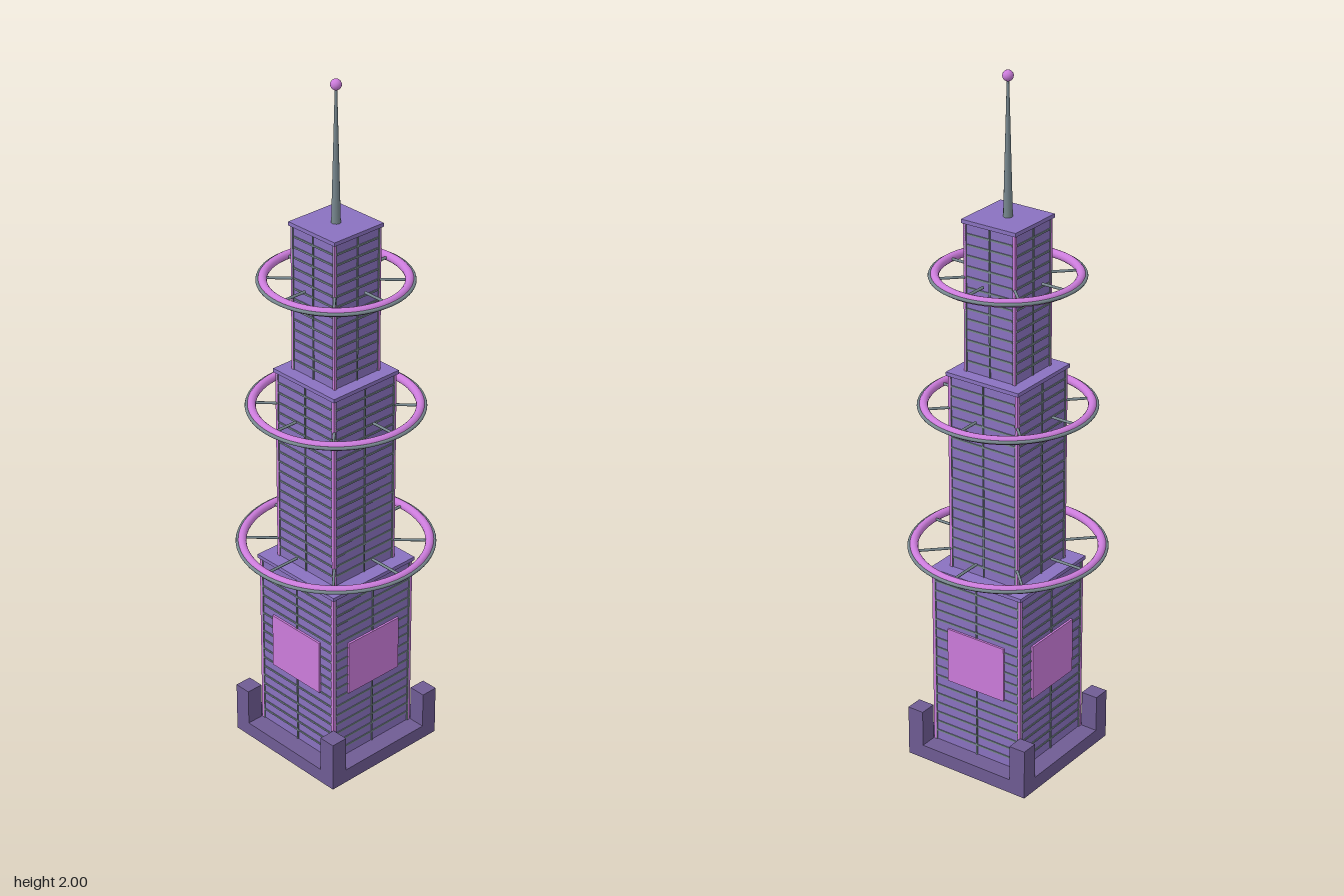
import * as THREE from 'three';

const mat = (name, color) => Object.assign(new THREE.MeshStandardMaterial({ color }), { name });

export function createModel() {
  const wall = mat('violet wall', 0x8a72c0);
  const stone = mat('dark violet stone', 0x6f5c94);
  const pink = mat('neon pink', 0xcc7cdc);
  const metal = mat('grey metal', 0x78888f);

  const model = new THREE.Group();
  model.name = 'tower';

  const add = (parent, name, geometry, material, x = 0, y = 0, z = 0) => {
    const mesh = new THREE.Mesh(geometry, material);
    mesh.name = name;
    mesh.position.set(x, y, z);
    parent.add(mesh);
    return mesh;
  };
  const box = (parent, name, material, w, h, d, x, y, z) =>
    add(parent, name, new THREE.BoxGeometry(w, h, d), material, x, y, z);
  const corners = [[1, 1], [1, -1], [-1, -1], [-1, 1]];

  // Base plate with a pier on each corner
  box(model, 'basePlate', stone, 0.4, 0.042, 0.4, 0, 0.021, 0);
  for (const [sx, sz] of corners)
    box(model, 'cornerPier', stone, 0.05, 0.15, 0.05, sx * 0.175, 0.075, sz * 0.175);

  // Stacked tiers: half width, bottom, top
  const tiers = [[0.146, 0.042, 0.58], [0.111, 0.59, 1.165], [0.08, 1.175, 1.595]];
  for (const [half, bottom, top] of tiers) {
    const tier = new THREE.Group();
    tier.name = 'tier';
    model.add(tier);
    const height = top - bottom;
    const mid = (top + bottom) / 2;
    box(tier, 'walls', wall, half * 2, height, half * 2, 0, mid, 0);
    box(tier, 'roofCap', wall, half * 2 + 0.014, 0.011, half * 2 + 0.014, 0, top + 0.0045, 0);

    // Neon strips up the corners
    for (const [sx, sz] of corners)
      box(tier, 'cornerStrip', pink, 0.008, height, 0.008, sx * (half - 0.001), mid, sz * (half - 0.001));

    // Window grid, the bars reaching through to the opposite face
    const across = half * 2 - 0.014;
    const deep = half * 2 + 0.005;
    const floors = Math.round(height / 0.03);
    for (let i = 1; i < floors; i++) {
      const y = bottom + (height * i) / floors;
      box(tier, 'floorBar', metal, across, 0.005, deep, 0, y, 0);
      box(tier, 'floorBar', metal, deep, 0.005, across, 0, y, 0);
    }
    for (const k of [-0.5, 0, 0.5]) {
      box(tier, 'windowPost', metal, 0.004, height, deep + 0.001, k * half * 2 * 0.96, mid, 0);
      box(tier, 'windowPost', metal, deep + 0.001, height, 0.004, 0, mid, k * half * 2 * 0.96);
    }
  }

  // Glowing panel on each side of the lowest tier
  for (let i = 0; i < 4; i++) {
    const side = new THREE.Group();
    side.name = 'panelSide';
    side.rotation.y = (i * Math.PI) / 2;
    model.add(side);
    box(side, 'glowPanel', pink, 0.19, 0.165, 0.006, 0, 0.333, 0.15);
  }

  // Halo rings: height, radius, spoke start
  const rings = [[0.645, 0.258, 0.145], [1.07, 0.226, 0.145], [1.443, 0.192, 0.11]];
  for (const [y, radius, start] of rings) {
    const halo = new THREE.Group();
    halo.name = 'haloRing';
    halo.position.y = y;
    model.add(halo);
    add(halo, 'glowRing', new THREE.TorusGeometry(radius, 0.012, 12, 64), pink).rotation.x = Math.PI / 2;
    add(halo, 'outerTrim', new THREE.TorusGeometry(radius + 0.013, 0.005, 8, 64), metal).rotation.x = Math.PI / 2;
    const length = radius - start;
    for (let i = 0; i < 8; i++) {
      const arm = new THREE.Group();
      arm.name = 'spokeArm';
      arm.rotation.y = (i * Math.PI) / 4;
      halo.add(arm);
      add(arm, 'spoke', new THREE.CylinderGeometry(0.004, 0.004, length, 8), metal, start + length / 2)
        .rotation.z = Math.PI / 2;
    }
  }

  // Tapered mast with a beacon
  add(model, 'mast', new THREE.CylinderGeometry(0.003, 0.013, 0.385, 12), metal, 0, 1.7925, 0);
  add(model, 'beacon', new THREE.SphereGeometry(0.015, 16, 12), pink, 0, 1.985, 0);

  return model;
}
